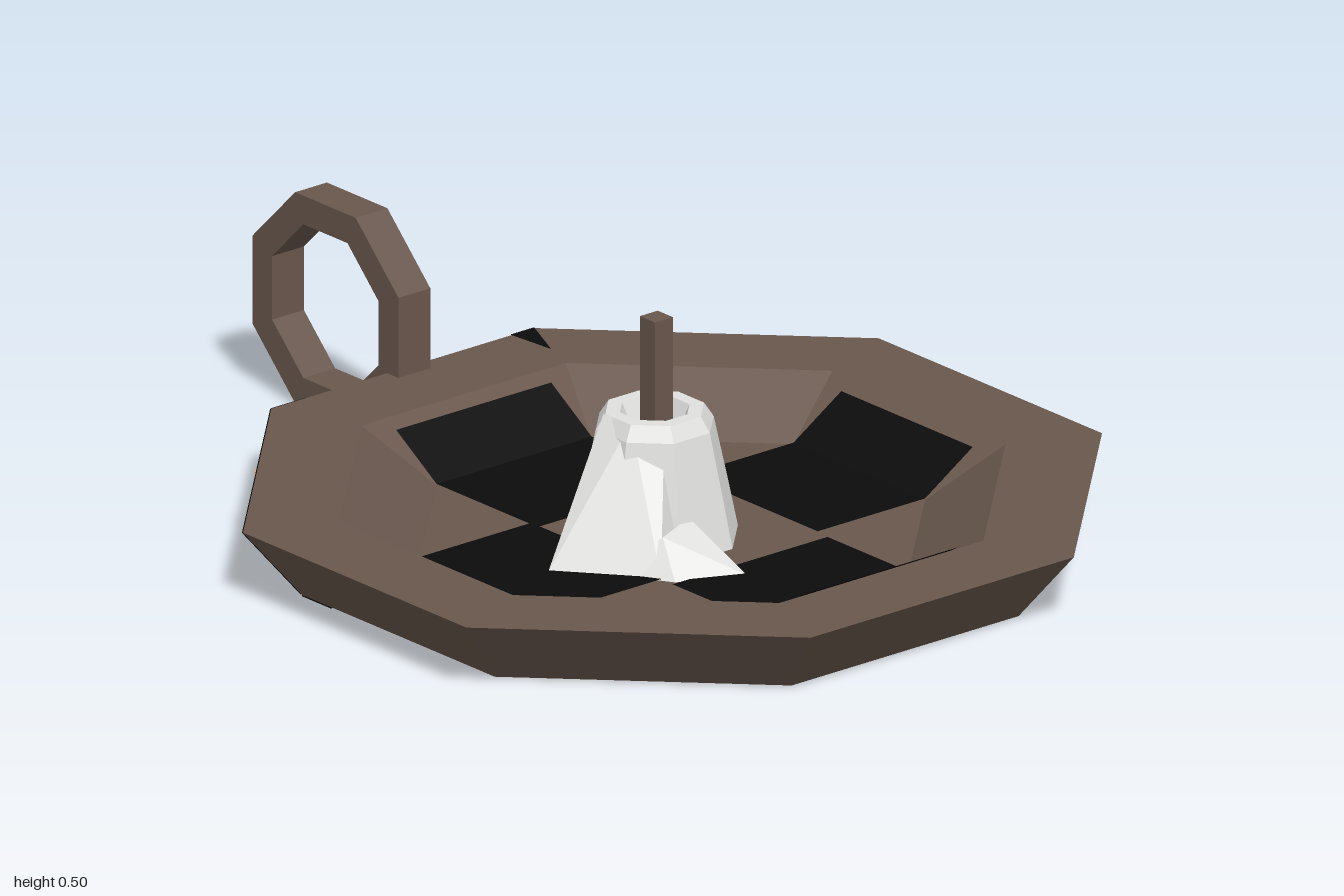
import * as THREE from 'three';
import { ConvexGeometry } from 'three/addons/geometries/ConvexGeometry.js';

const CZ = 0.2;              // dish centre along z
const FLOOR = 0.05, RIM = 0.145;

function flat(geo) {
  const g = geo.index ? geo.toNonIndexed() : geo;
  g.computeVertexNormals();
  return g;
}

// Eight-sided lathe whose profile gives distance to the flat sides
function octLathe(profile) {
  const k = 1 / Math.cos(Math.PI / 8);
  const pts = profile.map(([r, y]) => new THREE.Vector2(r * k, y));
  return flat(new THREE.LatheGeometry(pts, 8, Math.PI / 8));
}

// Flat polygon drawn as a fan
function polygon(points) {
  const pos = [];
  for (let i = 1; i < points.length - 1; i++) pos.push(...points[0], ...points[i], ...points[i + 1]);
  const g = new THREE.BufferGeometry();
  g.setAttribute('position', new THREE.Float32BufferAttribute(pos, 3));
  g.computeVertexNormals();
  return g;
}

function octagon(path, apothem) {
  const r = apothem / Math.cos(Math.PI / 8);
  const pts = [];
  for (let i = 0; i < 8; i++) {
    const a = Math.PI / 8 + i * Math.PI / 4;
    pts.push(new THREE.Vector2(r * Math.cos(a), r * Math.sin(a)));
  }
  return path.setFromPoints(pts);
}

export function createModel() {
  const brown = new THREE.MeshStandardMaterial({ name: 'brown', color: 0x69574d });
  const black = new THREE.MeshStandardMaterial({ name: 'black', color: 0x0c0c0c, side: THREE.DoubleSide });
  const beige = new THREE.MeshStandardMaterial({ name: 'beige', color: 0xcdb493, side: THREE.DoubleSide });
  const wax = new THREE.MeshStandardMaterial({ name: 'wax', color: 0xe0e0de });

  const model = new THREE.Group();
  model.name = 'candleHolder';
  const dish = new THREE.Group();
  dish.name = 'dishGroup';
  dish.position.z = CZ;
  model.add(dish);
  const add = (parent, name, geo, mat) => {
    const m = new THREE.Mesh(geo, mat);
    m.name = name;
    parent.add(m);
    return m;
  };

  // Octagonal dish with sunken floor
  add(dish, 'dish', octLathe([[0, 0.003], [0.69, 0.003], [0.8, RIM], [0.62, RIM], [0.47, FLOOR], [0, FLOOR]]), brown);

  // Dark checks across the floor and up the inner wall: direction, inner and outer reach
  const wallY = d => FLOOR + (d - 0.47) / 0.15 * (RIM - FLOOR);
  for (const [name, turn, inner, outer] of [
    ['frontCheck', 0, 0.23, 0.615], ['rightCheck', 1, 0.2, 0.59],
    ['backCheck', 2, 0.17, 0.59], ['leftCheck', 3, 0.19, 0.52]]) {
    const w = 0.195, e = 0.003;
    const check = new THREE.Group();
    check.name = name;
    check.rotation.y = turn * Math.PI / 2;
    dish.add(check);
    const strip = (a, ya, b, yb) => polygon([[-w, ya + e, a], [w, ya + e, a], [w, yb + e, b], [-w, yb + e, b]]);
    add(check, name + 'Floor', strip(inner, FLOOR, 0.47, FLOOR), black);
    add(check, name + 'Wall', strip(0.47, FLOOR, outer, wallY(outer)), black);
  }

  // Rounded dark checks under the dish
  const h = 0.19, c = 0.04;
  const tile = new THREE.Shape();
  tile.moveTo(-h + c, -h).lineTo(h - c, -h).quadraticCurveTo(h, -h, h, -h + c)
    .lineTo(h, h - c).quadraticCurveTo(h, h, h - c, h)
    .lineTo(-h + c, h).quadraticCurveTo(-h, h, -h, h - c)
    .lineTo(-h, -h + c).quadraticCurveTo(-h, -h, -h + c, -h);
  for (const [x, z] of [[0.39, 0], [-0.39, 0], [0, 0.39], [0, -0.39]]) {
    const m = add(dish, 'undersideCheck', new THREE.ShapeGeometry(tile, 4), black);
    m.rotation.x = Math.PI / 2;
    m.position.set(x, 0, z);
  }

  // Pale corner patch under the dish with dark borders
  const under = pts => polygon(pts.map(([x, z]) => [x, 0, z]));
  add(dish, 'palePatch', under([[-0.2, -0.2], [-0.6, -0.2], [-0.6, -0.376], [-0.376, -0.6], [-0.2, -0.6]]), beige);
  const border = [[-0.376, -0.6], [-0.286, -0.69], [-0.2, -0.69], [-0.2, -0.6]];
  add(dish, 'patchBorder', under(border), black);
  add(dish, 'patchBorder', under(border.map(([x, z]) => [z, x])), black);

  // Dark outer side with a pale wedge
  const sidePoint = (t, u, out) => {
    const a = 0.69 + 0.11 * u + out, s = a * Math.tan(Math.PI / 8);
    return [-s + (s - a) * t, 0.003 + (RIM - 0.003) * u, -a + (a - s) * t];
  };
  add(dish, 'darkSide', polygon([[0, 0], [1, 0], [1, 1], [0, 1]].map(([t, u]) => sidePoint(t, u, 0.002))), black);
  add(dish, 'paleWedge', polygon([[0.28, 0], [0.72, 0], [0.53, 1], [0.47, 1]].map(([t, u]) => sidePoint(t, u, 0.005))), beige);
  add(dish, 'darkBackPatch', polygon([[-0.2, 0.003, -0.692], [-0.286, 0.003, -0.692],
    [-0.33, RIM, -0.802], [-0.24, RIM, -0.802]]), black);
  // Small dark chip on the rim
  add(dish, 'rimChip', polygon([[0.27, RIM + 0.002, -0.8], [0.28, RIM + 0.002, -0.69], [0.33, RIM + 0.002, -0.8]]), black);

  // Ring handle
  const ring = octagon(new THREE.Shape(), 0.217);
  ring.holes.push(octagon(new THREE.Path(), 0.158));
  const ringGeo = new THREE.ExtrudeGeometry(ring, { depth: 0.08, bevelEnabled: false });
  ringGeo.translate(0, 0, -0.04);
  const handle = add(model, 'ringHandle', flat(ringGeo), brown);
  handle.rotation.y = Math.PI / 2;
  handle.position.set(0, 0.22, -0.783);

  // Candle stub with hollow top
  const candle = add(model, 'candleStub', octLathe([[0.155, FLOOR], [0.137, RIM], [0.11, 0.28],
    [0.092, 0.31], [0.065, 0.31], [0.05, 0.275], [0, 0.275]]), wax);
  candle.position.set(-0.045, 0, 0.2);

  // Melted wax running down to the floor
  const hull = pts => flat(new ConvexGeometry(pts.map(p => new THREE.Vector3(...p))));
  add(model, 'waxRun', hull([[-0.14, 0.31, 0.16], [-0.13, 0.31, 0.23], [-0.08, 0.3, 0.27],
    [-0.33, FLOOR, 0.22], [-0.22, FLOOR, 0.12], [-0.08, FLOOR, 0.12],
    [-0.19, FLOOR, 0.39], [-0.08, FLOOR, 0.34], [-0.25, 0.14, 0.21]]), wax);
  add(model, 'waxPool', hull([[-0.18, FLOOR, 0.42], [-0.05, FLOOR, 0.48], [-0.05, FLOOR, 0.3],
    [-0.25, FLOOR, 0.3], [-0.07, 0.13, 0.33], [-0.16, 0.12, 0.36]]), wax);

  // Wick
  const wick = add(model, 'wick', new THREE.BoxGeometry(0.045, 0.24, 0.045), brown);
  wick.position.set(-0.045, 0.38, 0.205);

  return model;
}
